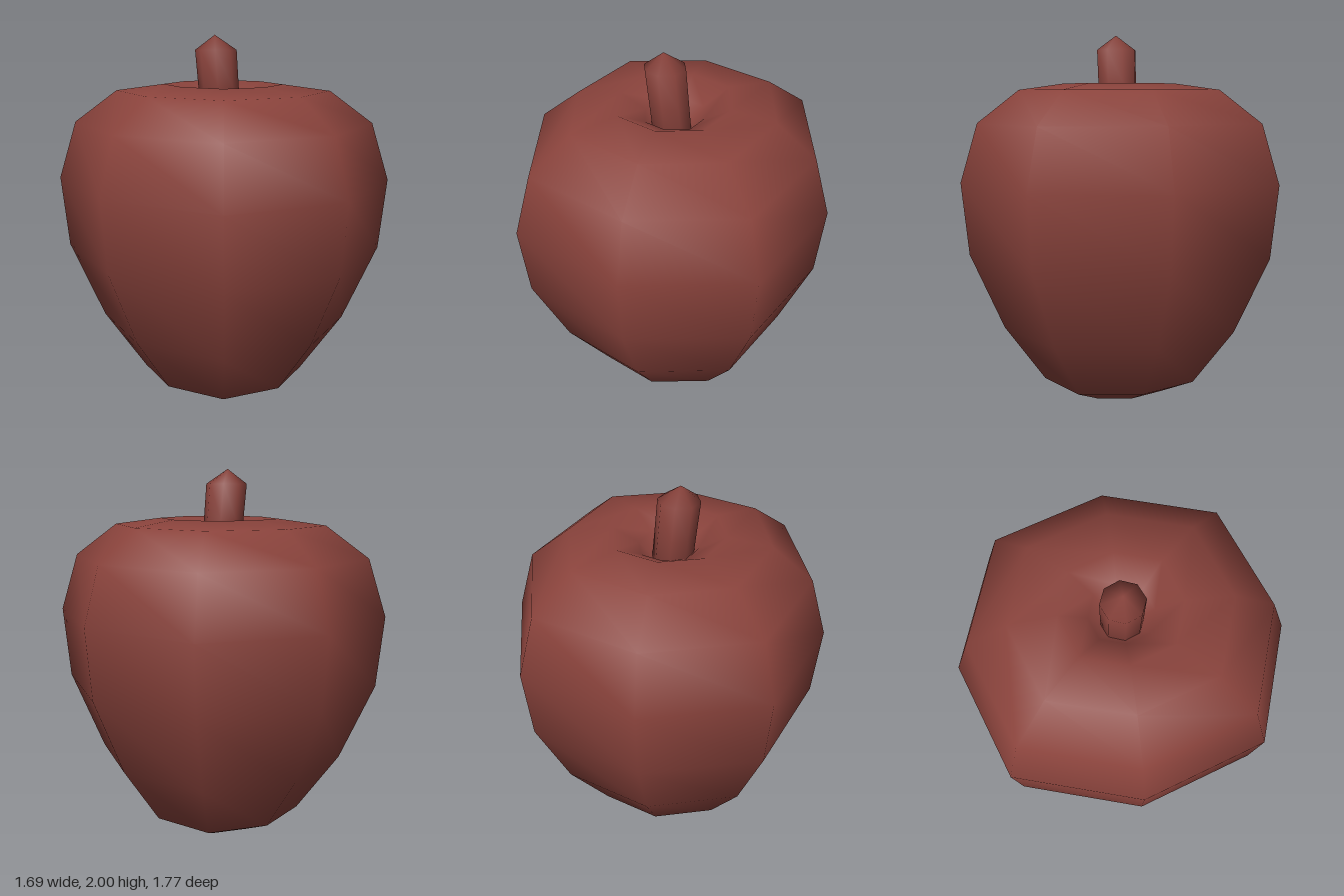
import * as THREE from 'three';
import { mergeVertices } from 'three/addons/utils/BufferGeometryUtils.js';

// Eight-sided smooth lathe whose vertices are then moved by a rule
function smoothLathe(profile, move) {
  let geo = new THREE.LatheGeometry(profile.map(([r, y]) => new THREE.Vector2(r, y)), 8);
  const pos = geo.attributes.position;
  const v = new THREE.Vector3();
  for (let i = 0; i < pos.count; i++) {
    move(v.fromBufferAttribute(pos, i));
    pos.setXYZ(i, v.x, v.y, v.z);
  }
  geo.deleteAttribute('uv');
  geo.deleteAttribute('normal');
  geo = mergeVertices(geo, 1e-4);
  geo.computeVertexNormals();
  return geo;
}

export function createModel() {
  const group = new THREE.Group();
  const red = new THREE.MeshStandardMaterial({ color: 0x8a433c });
  red.name = 'apple red';

  // Apple body with a dimple at both ends; corners swell on the diagonals
  const bodyProfile = [
    [0, 0.07], [0.24, 0], [0.42, 0.085], [0.635, 0.4], [0.81, 0.82], [0.847, 1.21],
    [0.757, 1.525], [0.54, 1.7], [0.3, 1.735], [0.16, 1.66], [0, 1.5],
  ];
  const body = new THREE.Mesh(smoothLathe(bodyProfile, (v) => {
    const diagonal = Math.abs(v.x) > 1e-4 && Math.abs(v.z) > 1e-4;
    const swell = diagonal ? 1.06 : 1;
    v.x *= swell;
    v.z *= swell * 1.047;
  }), red);
  body.name = 'body';
  group.add(body);

  // Stem leaning to the model's right, with a pointed tip
  const stemProfile = [[0, 1.5], [0.108, 1.5], [0.11, 1.73], [0.112, 1.92], [0, 2]];
  const stem = new THREE.Mesh(smoothLathe(stemProfile, (v) => {
    v.x -= 0.033 + (v.y - 1.73) * 0.1;
  }), red);
  stem.name = 'stem';
  group.add(stem);

  return group;
}
